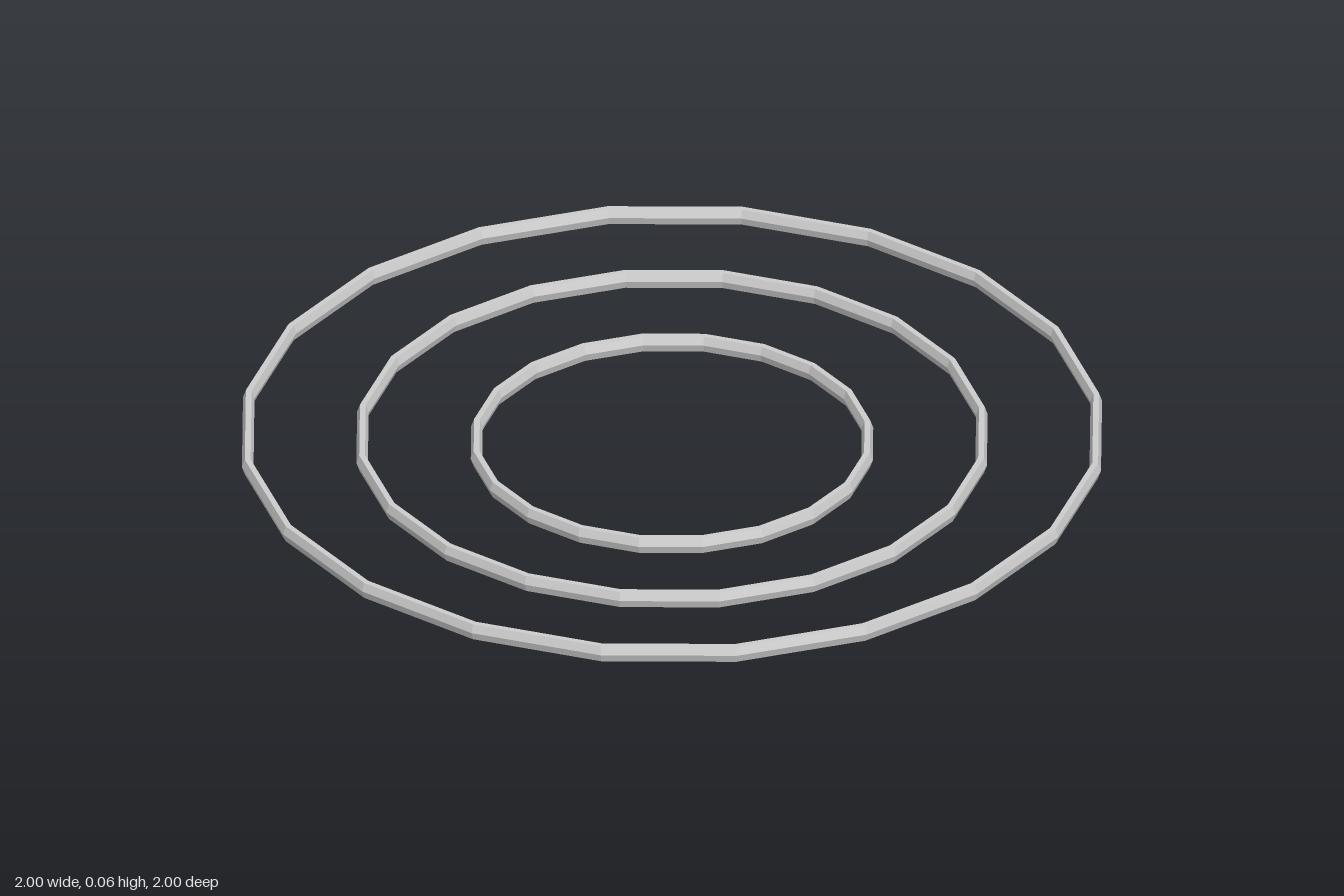
import * as THREE from 'three';

export function createModel() {
  const model = new THREE.Group();
  const lightGrey = new THREE.MeshStandardMaterial({ color: 0xcccccc, flatShading: true });
  lightGrey.name = 'lightGrey';

  const halfWidth = 0.0135;
  const halfHeight = 0.02;

  // Low-poly ring with a six-sided section that is taller than wide
  function addRing(name, outerRadius, bottom) {
    const geometry = new THREE.TorusGeometry(outerRadius - halfWidth, halfWidth, 6, 20);
    geometry.rotateX(-Math.PI / 2);
    geometry.scale(1, halfHeight / (halfWidth * Math.sin(Math.PI / 3)), 1);
    const ring = new THREE.Mesh(geometry, lightGrey);
    ring.name = name;
    ring.position.y = bottom + halfHeight;
    model.add(ring);
  }

  // Concentric rings, each a little higher than the one inside it
  addRing('innerRing', 0.468, 0);
  addRing('middleRing', 0.734, 0.0125);
  addRing('outerRing', 1, 0.025);

  return model;
}
